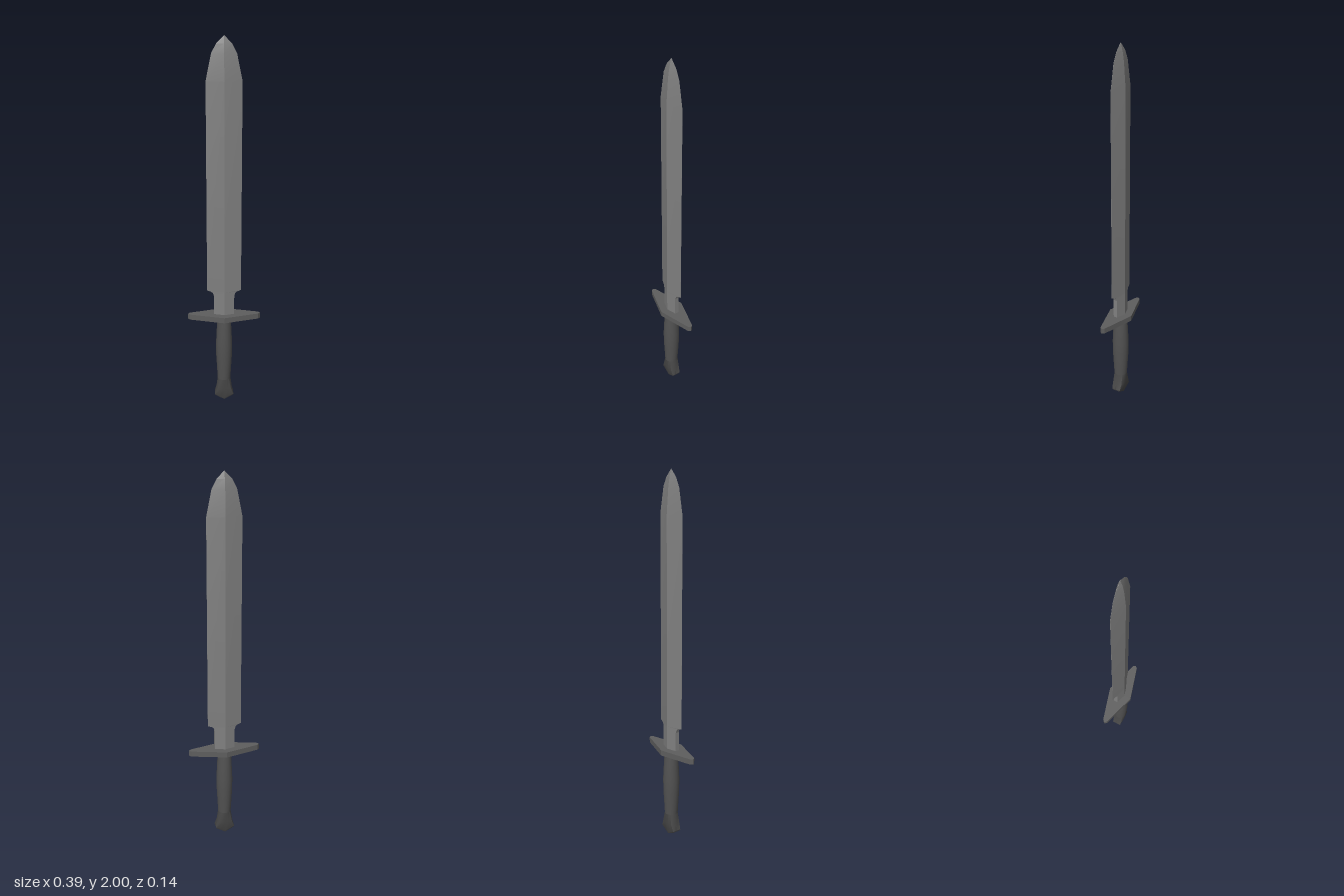
import * as THREE from 'three';
import { toCreasedNormals } from 'three/addons/utils/BufferGeometryUtils.js';

// Skin a stack of rings (lowest first) and close both ends with fans.
function loft(rings, crease) {
  const n = rings[0].length;
  const pos = rings.flat(2);
  const index = [];
  for (let r = 0; r < rings.length - 1; r++) {
    for (let j = 0; j < n; j++) {
      const a = r * n + j, b = r * n + (j + 1) % n;
      index.push(a, a + n, b, b, a + n, b + n);
    }
  }
  const top = (rings.length - 1) * n;
  const bottomY = Math.min(...rings[0].map(p => p[1]));
  pos.push(0, bottomY, 0, 0, rings[rings.length - 1][0][1], 0);
  const centre = rings.length * n;
  for (let j = 0; j < n; j++) {
    const k = (j + 1) % n;
    index.push(centre, j, k, centre + 1, top + k, top + j);
  }
  const geo = new THREE.BufferGeometry();
  geo.setAttribute('position', new THREE.Float32BufferAttribute(pos, 3));
  geo.setIndex(index);
  return toCreasedNormals(geo, crease);
}

// Diamond section with side edges cut to half thickness e.
const diamond = (y, w, t, e) => [
  [w, y, e], [0, y, t], [-w, y, e], [-w, y, -e], [0, y, -t], [w, y, -e],
];

// Section from ellipse (square = 0) to rectangle (square = 1);
// lift raises the ring in proportion to |x|.
function section(y, rx, rz, square = 0, lift = 0) {
  return Array.from({ length: 16 }, (_, i) => {
    const a = (i / 16) * Math.PI * 2;
    const c = Math.cos(a), s = Math.sin(a);
    const k = 1 / (1 - square + square * Math.max(Math.abs(c), Math.abs(s)));
    return [rx * c * k, y + lift * Math.abs(c * k), rz * s * k];
  });
}

export function createModel() {
  const group = new THREE.Group();
  const add = (name, geo, color) => {
    const mesh = new THREE.Mesh(geo, new THREE.MeshStandardMaterial({ color }));
    mesh.name = name;
    group.add(mesh);
  };

  // Blade: narrow flat-sided neck, shoulders, then a pointed diamond section
  add('blade', loft([
    diamond(0.51, 0.055, 0.028, 0.011),
    diamond(0.63, 0.055, 0.028, 0.011),
    diamond(0.646, 0.06, 0.028, 0.0095),
    diamond(0.654, 0.07, 0.028, 0.0065),
    diamond(0.66, 0.092, 0.028, 0.0005),
    diamond(1.78, 0.092, 0.028, 0.0005),
    diamond(1.915, 0.064, 0.018, 0.0005),
    diamond(1.962, 0.039, 0.0105, 0.0005),
    diamond(2.0, 0.001, 0.001, 0.0005),
  ], 0.1), 0x808080);

  // Guard: long lozenge plate with clipped ends
  const plate = new THREE.Shape([
    [0.197, 0], [0.187, 0.013], [0, 0.068], [-0.187, 0.013],
    [-0.197, 0], [-0.187, -0.013], [0, -0.068], [0.187, -0.013],
  ].map(p => new THREE.Vector2(...p)));
  const guard = new THREE.ExtrudeGeometry(plate, { depth: 0.03, bevelEnabled: false });
  guard.rotateX(-Math.PI / 2);
  guard.translate(0, 0.494, 0);
  add('guard', guard, 0x5e5e5e);

  // Grip: gently swelling round handle
  add('grip', loft([
    section(0.13, 0.036, 0.037),
    section(0.2, 0.04, 0.041),
    section(0.27, 0.044, 0.045),
    section(0.34, 0.045, 0.046),
    section(0.42, 0.041, 0.042),
    section(0.5, 0.037, 0.037),
  ], 0.7), 0x525252);

  // Pommel: round at the neck, flaring to a thin rectangular end with a shallow wedge
  add('pommel', loft([
    section(0, 0.05, 0.021, 1, 0.027),
    section(0.012, 0.052, 0.025, 1, 0.022),
    section(0.07, 0.044, 0.033, 0.6),
    section(0.13, 0.036, 0.037),
  ], 0.5), 0x484848);

  return group;
}
